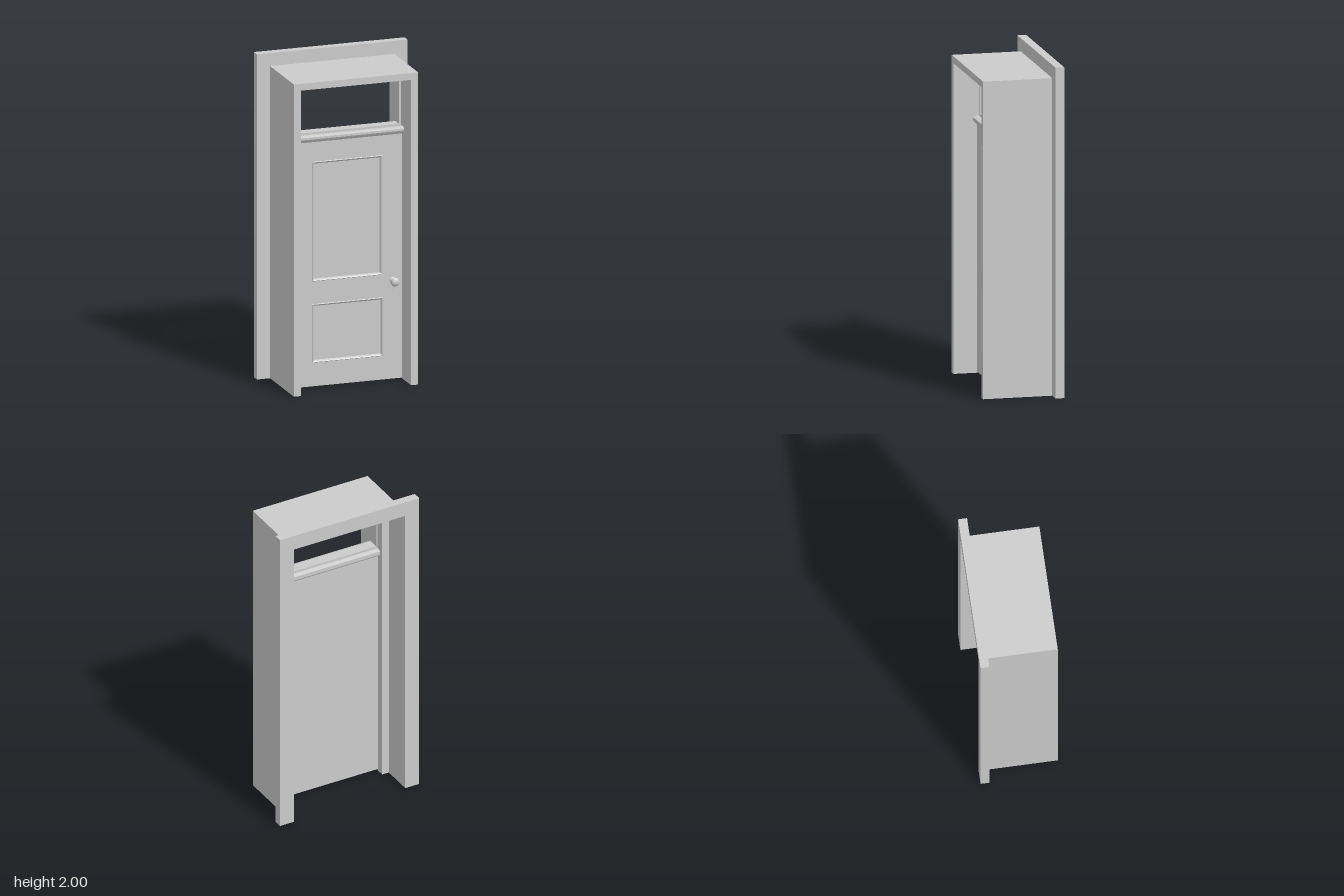
import * as THREE from 'three';

const material = new THREE.MeshStandardMaterial({ color: 0xcccccc, flatShading: true });
const smooth = new THREE.MeshStandardMaterial({ color: 0xcccccc });

function add(parent, name, geometry, mat = material) {
  const mesh = new THREE.Mesh(geometry, mat);
  mesh.name = name;
  parent.add(mesh);
  return mesh;
}

// Box given by its limits on each axis
function box(parent, name, x0, x1, y0, y1, z0, z1) {
  const mesh = add(parent, name, new THREE.BoxGeometry(x1 - x0, y1 - y0, z1 - z0));
  mesh.position.set((x0 + x1) / 2, (y0 + y1) / 2, (z0 + z1) / 2);
  return mesh;
}

function trace(path, points) {
  points.forEach(([x, y], i) => (i ? path.lineTo(x, y) : path.moveTo(x, y)));
  path.closePath();
  return path;
}

const rect = (x0, x1, y0, y1) => [[x0, y0], [x1, y0], [x1, y1], [x0, y1]];

function extrude(shape, z0, z1) {
  return new THREE.ExtrudeGeometry(shape, { depth: z1 - z0, bevelEnabled: false }).translate(0, 0, z0);
}

// Door-shaped surround: two legs and a head, open at the floor
function surround(parent, name, outerX, outerY, innerX, innerY, z0, z1) {
  const shape = trace(new THREE.Shape(), [
    [-outerX, 0], [-innerX, 0], [-innerX, innerY], [innerX, innerY],
    [innerX, 0], [outerX, 0], [outerX, outerY], [-outerX, outerY],
  ]);
  return add(parent, name, extrude(shape, z0, z1));
}

// Closed rectangular frame
function frame(parent, name, outer, inner, z0, z1) {
  const shape = trace(new THREE.Shape(), rect(...outer));
  shape.holes.push(trace(new THREE.Path(), rect(...inner)));
  return add(parent, name, extrude(shape, z0, z1));
}

// Mitred moulding: rectangular loops at successive insets and depths
function moulding(parent, name, [x0, x1, y0, y1], steps) {
  const positions = [];
  const loops = steps.map(([inset, z]) =>
    rect(x0 + inset, x1 - inset, y0 + inset, y1 - inset).map(([x, y]) => [x, y, z]));
  for (let s = 0; s < loops.length - 1; s++) {
    for (let i = 0; i < 4; i++) {
      const j = (i + 1) % 4;
      const [a, b, c, d] = [loops[s][i], loops[s][j], loops[s + 1][j], loops[s + 1][i]];
      positions.push(...a, ...b, ...c, ...a, ...c, ...d);
    }
  }
  const geometry = new THREE.BufferGeometry();
  geometry.setAttribute('position', new THREE.Float32BufferAttribute(positions, 3));
  geometry.computeVertexNormals();
  return add(parent, name, geometry);
}

export function createModel() {
  const model = new THREE.Group();
  model.name = 'doorway';

  // Fixed frame: wall casing, deep jamb and the stop behind the door
  const fixed = new THREE.Group();
  fixed.name = 'doorFrame';
  model.add(fixed);
  surround(fixed, 'backCasing', 0.473, 2, 0.378, 1.905, -0.238, -0.185);
  surround(fixed, 'backJamb', 0.39, 1.92, 0.378, 1.905, -0.185, -0.04);
  surround(fixed, 'frontJamb', 0.39, 1.92, 0.345, 1.878, -0.04, 0.235);
  surround(fixed, 'doorStop', 0.345, 1.878, 0.333, 1.866, -0.04, 0.015);

  // Transom: moulded bar and the open light above it
  const transom = new THREE.Group();
  transom.name = 'transom';
  model.add(transom);
  const bar = trace(new THREE.Shape(), [
    [-0.01, 1.515], [0.105, 1.515], [0.112, 1.525], [0.118, 1.535],
    [0.118, 1.548], [0.1, 1.555], [0.005, 1.555], [-0.015, 1.548], [-0.015, 1.525],
  ]);
  const barGeometry = extrude(bar, -0.344, 0.344).rotateY(-Math.PI / 2);
  add(transom, 'transomBar', barGeometry);
  frame(transom, 'transomSash', [-0.338, 0.338, 1.553, 1.872], [-0.325, 0.325, 1.568, 1.86], 0.015, 0.08);

  // Door leaf with two shallow sunk panels
  const door = new THREE.Group();
  door.name = 'door';
  model.add(door);
  const front = 0.095;
  const sunk = front - 0.01;
  const panels = [
    ['upperPanel', [-0.225, 0.215, 0.655, 1.39]],
    ['lowerPanel', [-0.225, 0.22, 0.155, 0.515]],
  ];
  const leaf = trace(new THREE.Shape(), rect(-0.338, 0.338, 0.01, 1.515));
  for (const [, area] of panels) leaf.holes.push(trace(new THREE.Path(), rect(...area)));
  add(door, 'stilesAndRails', extrude(leaf, 0.05, front));
  box(door, 'doorBack', -0.338, 0.338, 0.01, 1.515, 0.012, 0.05);
  for (const [name, area] of panels) {
    box(door, name, area[0], area[1], area[2], area[3], 0.05, sunk);
    moulding(door, name + 'Moulding', area,
      [[0, front], [0.003, front + 0.003], [0.008, front], [0.014, sunk]]);
  }

  // Knob and lock plate
  const hardware = new THREE.Group();
  hardware.name = 'lockSet';
  hardware.position.set(0.28, 0, front);
  door.add(hardware);
  box(hardware, 'lockPlate', -0.03, 0.04, 0.455, 0.655, -0.002, 0.001);
  const profile = [
    [0, 0], [0.02, 0], [0.02, 0.004], [0.01, 0.008], [0.009, 0.024], [0.018, 0.03],
    [0.026, 0.038], [0.027, 0.046], [0.022, 0.055], [0.012, 0.06], [0, 0.061],
  ].map(([r, h]) => new THREE.Vector2(r, h));
  const knob = add(hardware, 'doorKnob', new THREE.LatheGeometry(profile, 24), smooth);
  knob.rotation.x = Math.PI / 2;
  knob.position.y = 0.615;
  for (const y of [0.56, 0.5]) {
    const pin = add(hardware, 'platePin', new THREE.CylinderGeometry(0.004, 0.004, 0.004, 10), smooth);
    pin.rotation.x = Math.PI / 2;
    pin.position.set(0, y, 0.002);
  }
  return model;
}
